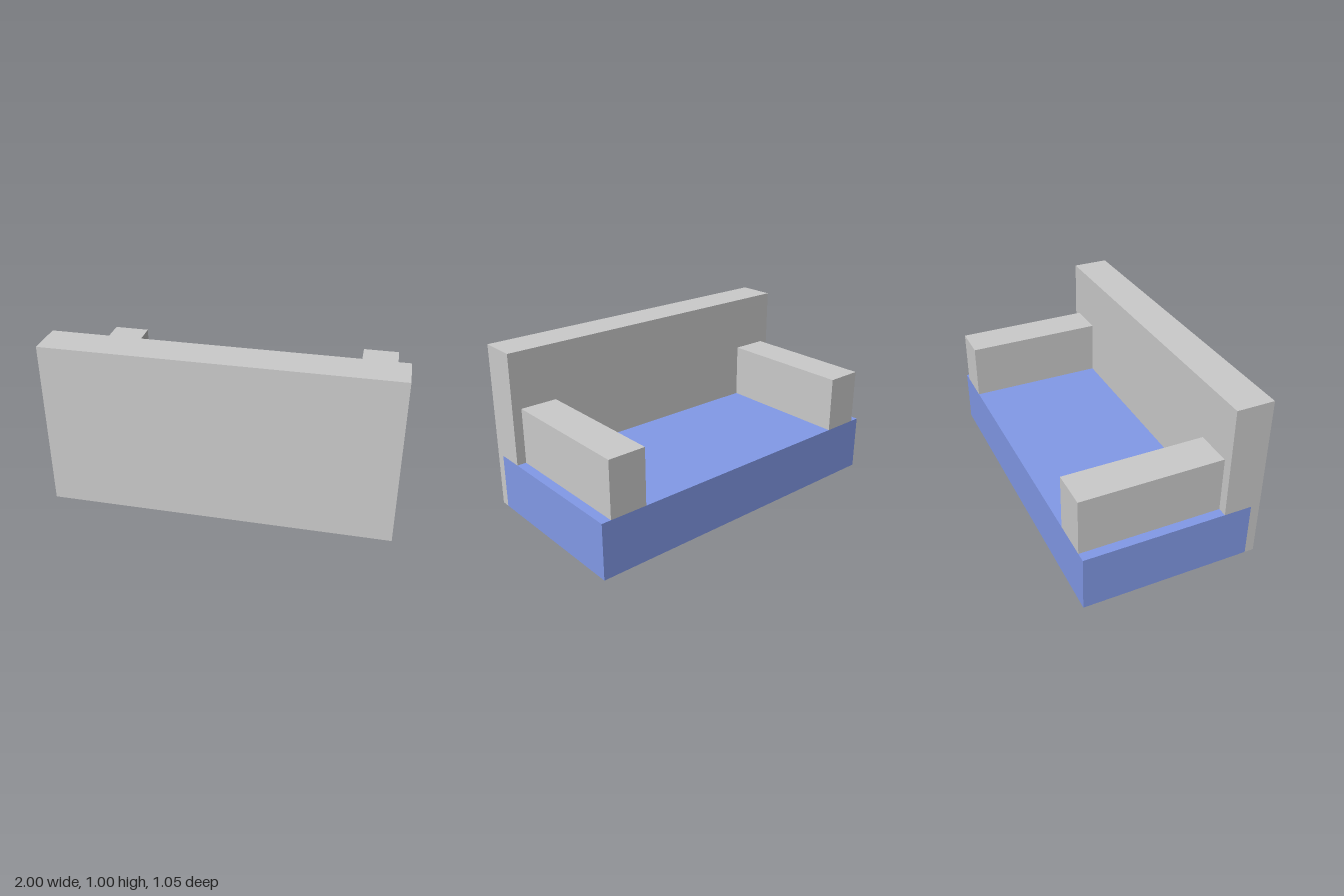
import * as THREE from 'three';

const grey = new THREE.MeshStandardMaterial({ color: 0xcccccc });
const blue = new THREE.MeshStandardMaterial({ color: 0x829ae8 });

// Box given by its minimum and maximum corners
function box(name, material, [x0, y0, z0], [x1, y1, z1]) {
  const mesh = new THREE.Mesh(new THREE.BoxGeometry(x1 - x0, y1 - y0, z1 - z0), material);
  mesh.position.set((x0 + x1) / 2, (y0 + y1) / 2, (z0 + z1) / 2);
  mesh.name = name;
  return mesh;
}

export function createModel() {
  const sofa = new THREE.Group();
  sofa.name = 'sofa';
  const seatTop = 0.333, armTop = 0.667;
  const open = -0.527, restInner = 0.305, seatEnd = 0.472, restOuter = 0.527;

  // Seat block, reaching under the backrest
  sofa.add(box('seat', blue, [-1, 0, open], [1, seatTop, seatEnd]));

  // Armrests, set in slightly from the ends of the seat
  sofa.add(box('leftArmrest', grey, [0.722, seatTop, open], [0.944, armTop, restInner]));
  sofa.add(box('rightArmrest', grey, [-0.944, seatTop, open], [-0.722, armTop, restInner]));

  // Backrest: stepped profile (drawn as -z, y) that wraps over the seat block
  const profile = new THREE.Shape([
    [-restOuter, 0], [-seatEnd, 0], [-seatEnd, seatTop],
    [-restInner, seatTop], [-restInner, 1], [-restOuter, 1],
  ].map(([x, y]) => new THREE.Vector2(x, y)));
  const geometry = new THREE.ExtrudeGeometry(profile, { depth: 2, bevelEnabled: false });
  geometry.translate(0, 0, -1).rotateY(Math.PI / 2);
  const backrest = new THREE.Mesh(geometry, grey);
  backrest.name = 'backrest';
  sofa.add(backrest);

  return sofa;
}
